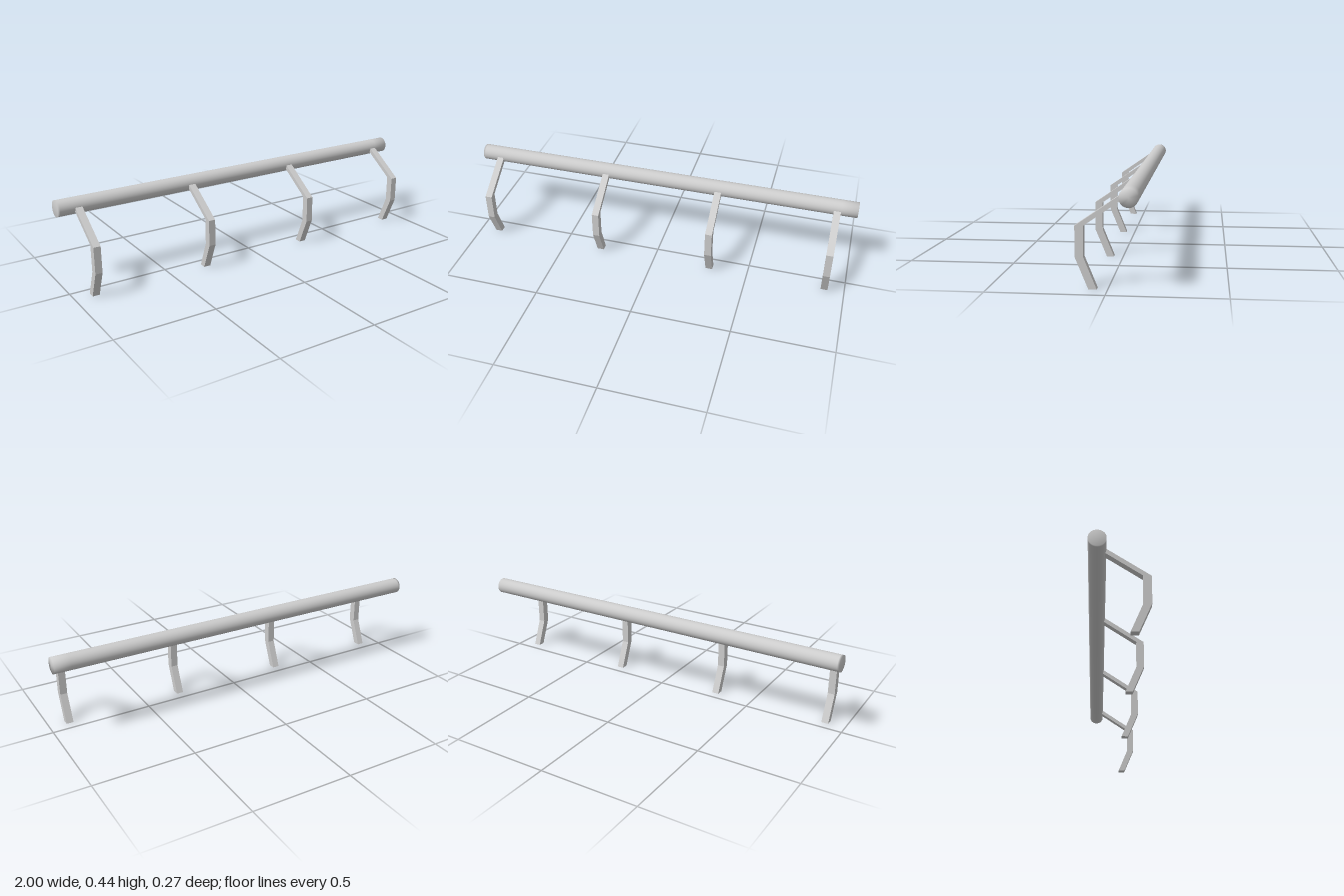
import * as THREE from 'three';

const material = new THREE.MeshStandardMaterial({ color: 0xcccccc });
const BAR_RADIUS = 0.04;
const TINE_WIDTH = 0.035;

// Round bar along x, with softly shaded ends
function makeBar() {
  const profile = [[0, -1], [BAR_RADIUS, -1], [BAR_RADIUS, -0.99], [BAR_RADIUS, 0.92], [BAR_RADIUS, 1], [0, 1]]
    .map(([r, y]) => new THREE.Vector2(r, y));
  const geometry = new THREE.LatheGeometry(profile, 48);
  geometry.rotateZ(-Math.PI / 2);
  const bar = new THREE.Mesh(geometry, material);
  bar.name = 'bar';
  bar.position.set(0, 0.398, -0.095);
  return bar;
}

// Bent flat tine: side outline in (z, y), extruded across x
function makeTineGeometry() {
  const outline = [
    [0.045, 0], [0.08, 0], [0.136, 0.135], [0.136, 0.267],
    [-0.057, 0.4], [-0.093, 0.4], [0.1, 0.267], [0.1, 0.135],
  ].map(([z, y]) => new THREE.Vector2(z, y));
  const geometry = new THREE.ExtrudeGeometry(new THREE.Shape(outline), { depth: TINE_WIDTH, bevelEnabled: false });
  geometry.translate(0, 0, -TINE_WIDTH / 2);
  geometry.rotateY(-Math.PI / 2);
  return geometry;
}

export function createModel() {
  const model = new THREE.Group();
  model.name = 'tinedBar';
  model.add(makeBar());

  // Four evenly spaced tines
  const tineGeometry = makeTineGeometry();
  [-0.9, -0.3, 0.3, 0.9].forEach((x, i) => {
    const tine = new THREE.Mesh(tineGeometry, material);
    tine.name = `tine${i + 1}`;
    tine.position.x = x;
    model.add(tine);
  });
  return model;
}
